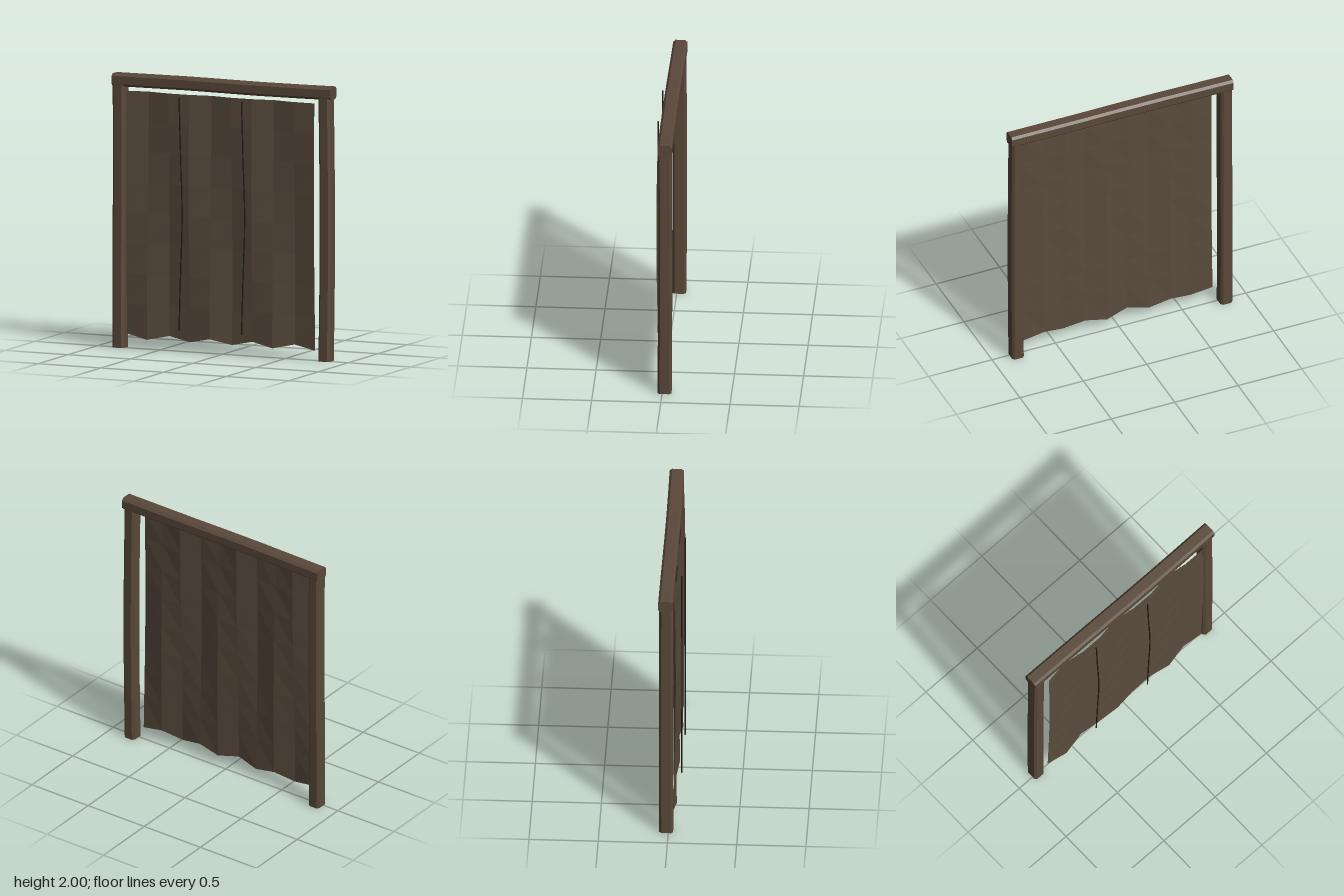
import * as THREE from 'three';

const wood = new THREE.MeshStandardMaterial({ color: 0x5a483a, flatShading: true });
wood.name = 'dark wood';
const hide = new THREE.MeshStandardMaterial({ color: 0x5a4b3d, flatShading: true, side: THREE.DoubleSide });
hide.name = 'brown hide';
const thread = new THREE.MeshStandardMaterial({ color: 0x241c15 });
thread.name = 'seam thread';

// Chamfered square timber running along +y from 0 to length, gently warped by bend(t) => [x, z]
function timber(name, length, width, depth, chamfer, bend) {
  const a = width / 2, b = depth / 2, c = chamfer;
  const outline = new THREE.Shape([
    [a - c, -b], [a, -b + c], [a, b - c], [a - c, b],
    [-a + c, b], [-a, b - c], [-a, -b + c], [-a + c, -b],
  ].map(([x, y]) => new THREE.Vector2(x, y)));
  const geo = new THREE.ExtrudeGeometry(outline, { depth: length, steps: 6, bevelEnabled: false });
  geo.rotateX(-Math.PI / 2);
  const p = geo.attributes.position;
  for (let i = 0; i < p.count; i++) {
    const [dx, dz] = bend(p.getY(i) / length);
    p.setX(i, p.getX(i) + dx);
    p.setZ(i, p.getZ(i) + dz);
  }
  geo.computeVertexNormals();
  const mesh = new THREE.Mesh(geo, wood);
  mesh.name = name;
  return mesh;
}

// Hanging hide: rippled sheet whose folds drift sideways downwards, with a zigzag lower hem
function curtain() {
  const cols = 9, rows = 8, top = 1.88;
  const geo = new THREE.PlaneGeometry(1.5, 1, cols, rows);
  const p = geo.attributes.position;
  for (let j = 0; j <= rows; j++) {
    for (let i = 0; i <= cols; i++) {
      const k = j * (cols + 1) + i;
      const hem = i % 2 ? 0.075 : 0.11;
      const y = j === rows ? hem : top - j * 0.2225;
      const z = 0.032 - 0.017 * Math.cos((i - 1) * 2.094 - 0.36 * j);
      p.setXYZ(k, p.getX(k), y, z);
    }
  }
  geo.computeVertexNormals();
  const mesh = new THREE.Mesh(geo, hide);
  mesh.name = 'hideCurtain';
  return mesh;
}

// Thin stitched seam bowing slightly to the side
function seam(name, x) {
  const path = new THREE.CatmullRomCurve3([
    [0, 1.86], [0.012, 1.44], [0.025, 1.0], [0.012, 0.58], [0, 0.16],
  ].map(([dx, y]) => new THREE.Vector3(x + dx, y, 0.072)));
  const mesh = new THREE.Mesh(new THREE.TubeGeometry(path, 12, 0.005, 6), thread);
  mesh.name = name;
  return mesh;
}

export function createModel() {
  const group = new THREE.Group();
  group.name = 'hideDoorway';

  // Posts
  const rightPost = timber('rightPost', 1.92, 0.093, 0.1, 0.016,
    (t) => [-0.002 * Math.sin(t * 6), -0.003 * Math.sin(t * Math.PI)]);
  rightPost.position.set(-0.825, 0, -0.016);
  const leftPost = timber('leftPost', 1.92, 0.091, 0.1, 0.016,
    (t) => [0.008 * Math.sin(t * Math.PI), -0.004 * Math.sin(t * Math.PI)]);
  leftPost.position.set(0.817, 0, -0.016);
  group.add(rightPost, leftPost);

  // Lintel, laid along x
  const lintel = timber('lintel', 1.745, 0.092, 0.105, 0.017,
    (t) => [0.002 * Math.cos(t * 9), 0.003 * Math.sin(t * 5 - 1.5)]);
  lintel.rotation.z = -Math.PI / 2;
  lintel.position.set(-0.8725, 1.952, -0.018);
  group.add(lintel);

  // Curtain and its seams
  group.add(curtain(), seam('rightSeam', -0.315), seam('leftSeam', 0.184));
  return group;
}
